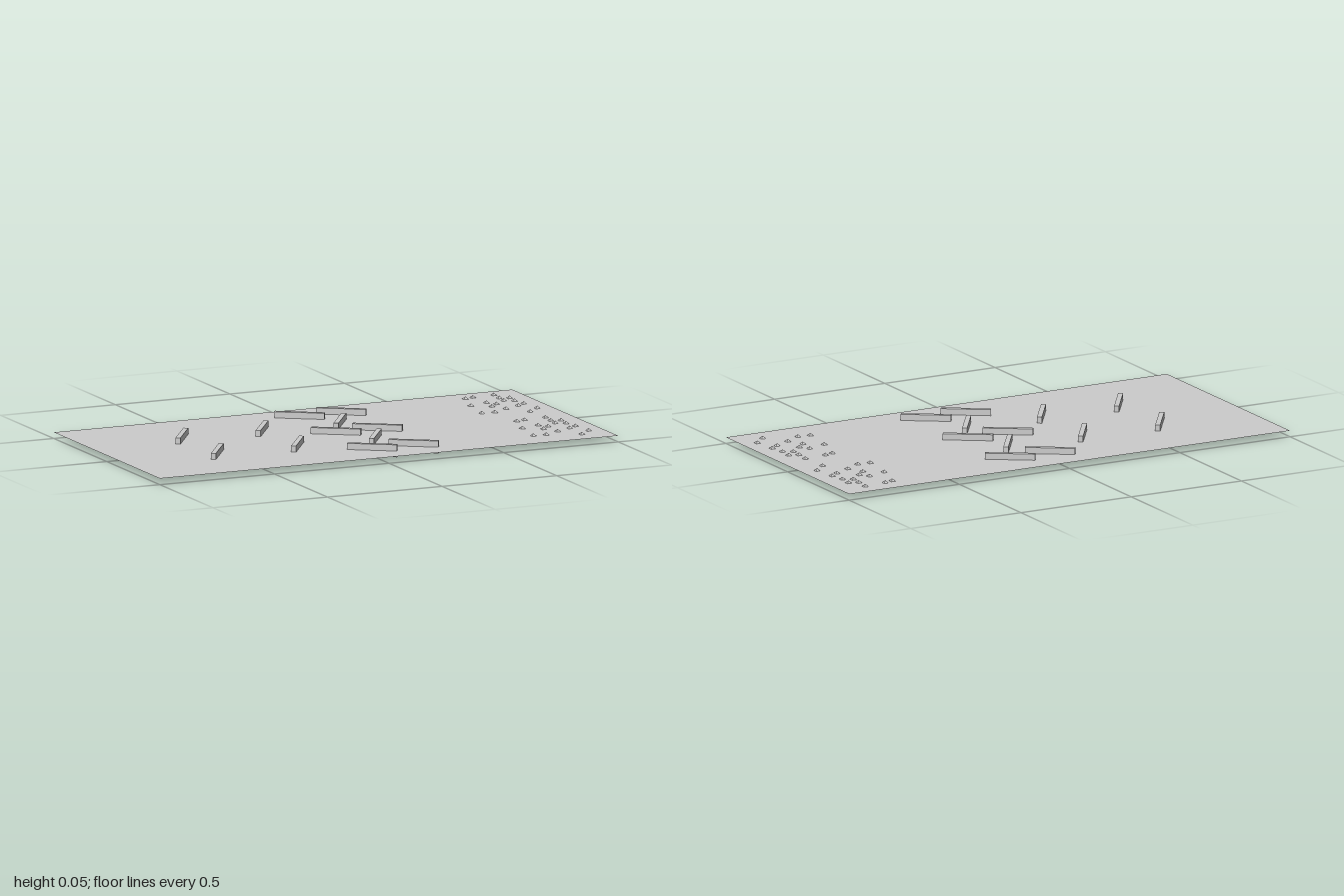
import * as THREE from 'three';

export function createModel() {
  const model = new THREE.Group();
  const material = new THREE.MeshStandardMaterial({ color: 0xcccccc, flatShading: true });
  const sheetMaterial = new THREE.MeshStandardMaterial({ color: 0xcccccc, side: THREE.DoubleSide });
  const groundY = 0.025;

  const add = (name, geometry, x, y, z, turn = 0, mat = material) => {
    const mesh = new THREE.Mesh(geometry, mat);
    mesh.name = name;
    mesh.position.set(x, y, z);
    mesh.rotation.y = turn;
    model.add(mesh);
  };

  // Thin flat field
  const sheet = new THREE.PlaneGeometry(2, 1).rotateX(-Math.PI / 2);
  add('field', sheet, 0, groundY, 0, 0, sheetMaterial);

  // Barrier walls, half sunk through the field, in two perpendicular directions
  const wall = new THREE.BoxGeometry(0.2, 0.05, 0.02);
  const tilt = 0.59;
  for (const x of [0, 0.181])
    for (const z of [-0.342, 0, 0.342]) add('shallowWall', wall, x, groundY, z, -tilt);
  for (const x of [-0.595, -0.245, 0.094])
    for (const z of [-0.167, 0.167]) add('steepWall', wall, x, groundY, z, Math.PI / 2 - tilt);

  // Small pyramids: one scattered cluster, repeated along z
  const pyramid = new THREE.ConeGeometry(0.0135, 0.011, 4).rotateY(Math.PI / 4);
  const cluster = [
    [0.753, -0.408], [0.791, -0.419], [0.887, -0.429], [0.881, -0.365], [0.919, -0.35], [0.715, -0.274],
    [0.796, -0.301], [0.876, -0.312], [0.913, -0.29], [0.822, -0.264], [0.785, -0.226], [0.924, -0.226],
    [0.887, -0.199], [0.817, -0.162], [0.694, -0.124], [0.748, -0.119], [0.935, -0.124], [0.881, -0.071],
  ];
  for (const shift of [0, 0.486])
    for (const [x, z] of cluster) add('pyramid', pyramid, x, groundY + 0.0055, z + shift);

  return model;
}
